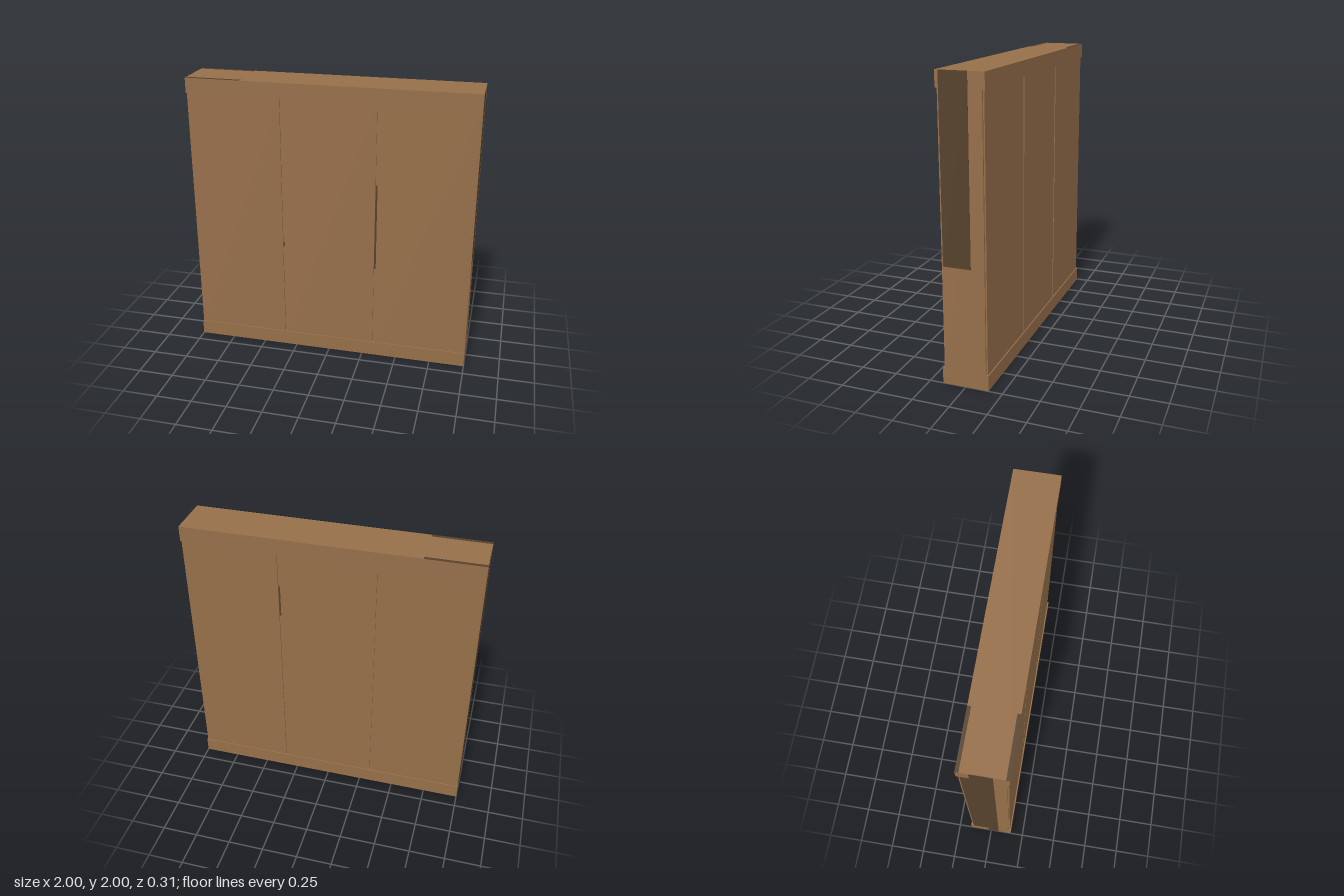
import * as THREE from 'three';

export function createModel() {
  const wall = new THREE.Group();
  wall.name = 'wallSection';

  const wood = new THREE.MeshStandardMaterial({ color: 0x966f4a });
  wood.name = 'brown wood';
  const dark = new THREE.MeshStandardMaterial({ color: 0x56412c });
  dark.name = 'dark wood';

  // Box given by its lower and upper limits on each axis
  function box(name, material, [x0, x1], [y0, y1], [z0, z1]) {
    const mesh = new THREE.Mesh(new THREE.BoxGeometry(x1 - x0, y1 - y0, z1 - z0), material);
    mesh.position.set((x0 + x1) / 2, (y0 + y1) / 2, (z0 + z1) / 2);
    mesh.name = name;
    wall.add(mesh);
    return mesh;
  }

  const bandHeight = 0.105;
  const top = 2 - bandHeight;

  // Core and the rails along the floor and the top
  box('core', wood, [-1, 1], [bandHeight, top], [-0.14, 0.14]);
  box('bottomRail', wood, [-1, 1], [0, bandHeight], [-0.157, 0.157]);
  box('topRail', wood, [-1, 1], [top, 2], [-0.157, 0.157]);

  // Three raised panels on each face, with narrow grooves between them
  for (const side of [1, -1]) {
    for (const i of [-1, 0, 1]) {
      const x = i * 0.664;
      const z = [side * 0.14, side * 0.149].sort((a, b) => a - b);
      box(side > 0 ? 'frontPanel' : 'backPanel', wood, [x - 0.325, x + 0.325], [bandHeight, top], z);
    }
  }

  // Dark stains on the two ends
  box('leftEndStain', dark, [0.998, 1.001], [0.8, 2], [-0.05, 0.135]);
  box('rightEndStain', dark, [-1.001, -0.998], [bandHeight, top], [-0.135, 0.06]);
  box('rightRailStain', dark, [-1.001, -0.998], [0, bandHeight], [-0.02, 0.06]);
  box('rightRailStain', dark, [-1.001, -0.998], [top, 2], [-0.08, 0.06]);

  // Dark strips along the top edges
  for (const side of [1, -1]) {
    const z = [side * 0.134, side * 0.157].sort((a, b) => a - b);
    box('topEdgeStain', dark, [-1, -0.61], [1.998, 2.001], z);
  }

  // Dark marks inside the grooves
  box('grooveStain', dark, [0.325, 0.339], [0.7, 1.33], [0.138, 0.142]);
  box('grooveStain', dark, [-0.339, -0.325], [0.81, 0.84], [0.138, 0.142]);
  box('grooveStain', dark, [0.325, 0.339], [1.41, 1.64], [-0.142, -0.138]);

  return wall;
}
